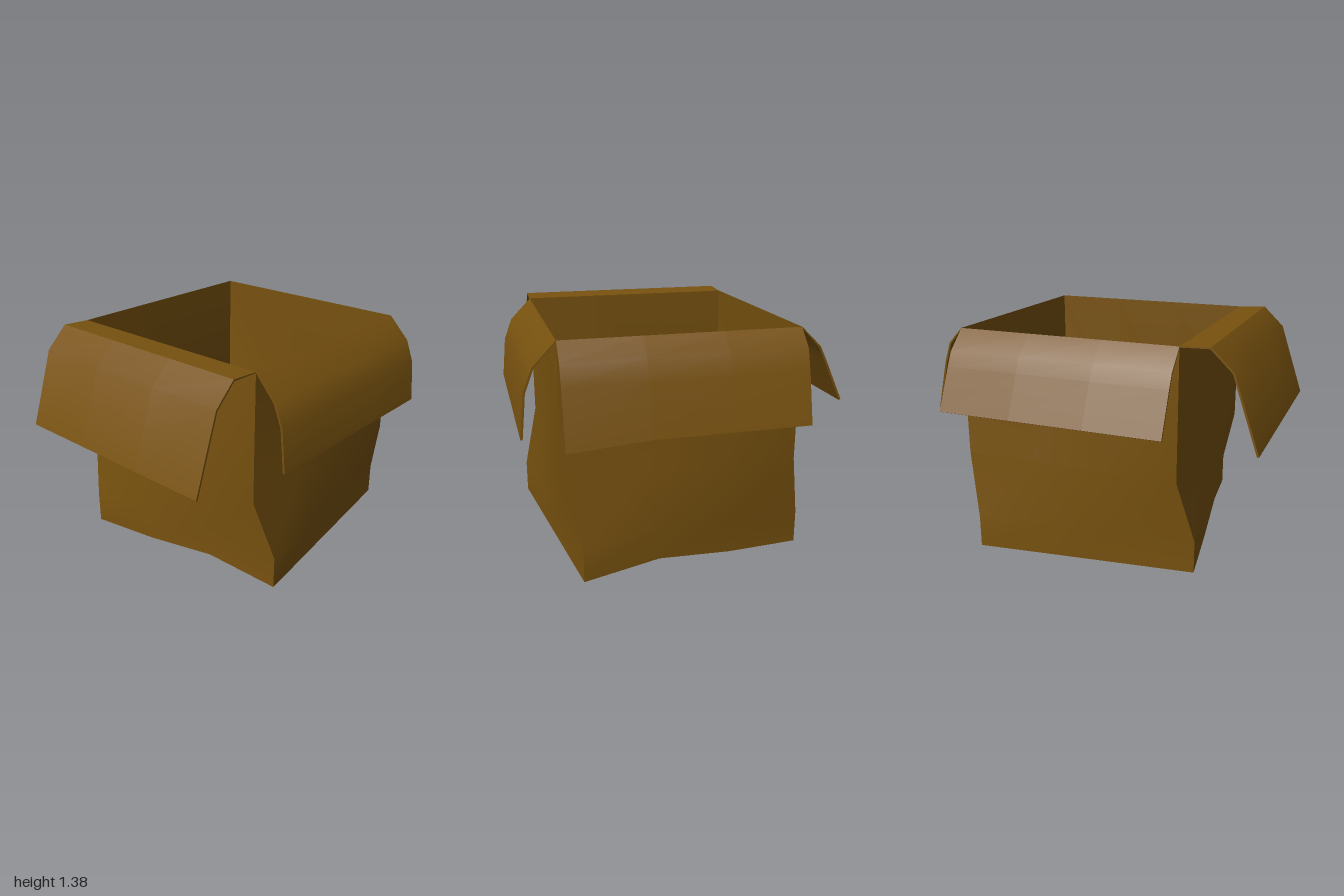
import * as THREE from 'three';
import { toCreasedNormals } from 'three/addons/utils/BufferGeometryUtils.js';

const CREASE = 0.6;
const THIRDS = [0, 1 / 3, 2 / 3, 1];
const RIM = 1.365, FOLD = 0.59, SKIRT = 0.2;

// Corners in order: front left edge, front right edge, back right edge, back left edge (seen from the front)
const rim = [[-0.55, 0.71], [0.79, 0.71], [0.79, -0.64], [-0.55, -0.64]];
const base = [[-0.46, 0.80], [0.88, 0.62], [0.70, -0.72], [-0.64, -0.55]];

// Height of the buckled lower edge, front to back
const buckle = [0.02, 0.07, 0.02, 0];
// Heights of each wall's lower edge, left to right seen from outside
const edgeHeights = [
  [0.02, 0.02, 0.02, 0.02],
  buckle,
  [0, 0, 0, 0],
  [...buckle].reverse(),
];

const mix = (a, b, t) => a.map((v, i) => v + (b[i] - v) * t);

// Surface through rows of points, rows going up and points going right
function sheet(rows) {
  const n = rows[0].length;
  const index = [];
  for (let r = 0; r < rows.length - 1; r++) {
    for (let c = 0; c < n - 1; c++) {
      const a = r * n + c, b = a + 1, d = a + n, e = d + 1;
      index.push(a, b, e, a, e, d);
    }
  }
  const g = new THREE.BufferGeometry();
  g.setAttribute('position', new THREE.Float32BufferAttribute(rows.flat(2), 3));
  g.setIndex(index);
  return toCreasedNormals(g, CREASE);
}

// Straight above the fold, twisted outward below it
function wall(side) {
  const next = (side + 1) % 4;
  const row = (ring, height) => THIRDS.map((t, i) => {
    const [x, z] = mix(ring[side], ring[next], t);
    return [x, height(i), z];
  });
  const low = edgeHeights[side];
  return sheet([
    row(base, i => low[i]),
    row(base, i => low[i] + SKIRT),
    row(rim, () => FOLD),
    row(rim, () => RIM),
  ]);
}

// Bottom panel, facing down
function floor() {
  return sheet(THIRDS.map((t, i) => {
    const [xl, zl] = mix(base[0], base[3], t);
    const [xr, zr] = mix(base[1], base[2], t);
    return [[xr, buckle[i], zr], [xl, buckle[i], zl]];
  }).reverse().map(r => r.reverse()).reverse().map(r => [r[1], r[0]]));
}

// Bent strip of card extruded from a side profile
function flap(path, length) {
  const thick = 0.012;
  const sign = Math.sign(path[path.length - 1][0]);
  const inner = path.map((p, i) => {
    const a = path[Math.max(i - 1, 0)], b = path[Math.min(i + 1, path.length - 1)];
    const dx = b[0] - a[0], dy = b[1] - a[1], l = Math.hypot(dx, dy);
    return [p[0] + sign * dy / l * thick, p[1] - sign * dx / l * thick];
  });
  inner[0] = [path[0][0], path[0][1] - thick / 2];
  const shape = new THREE.Shape([...path, ...inner.reverse()].map(p => new THREE.Vector2(...p)));
  return new THREE.ExtrudeGeometry(shape, { depth: length, steps: 3, bevelEnabled: false });
}

export function createModel() {
  const card = new THREE.MeshStandardMaterial({ color: 0x78520f, side: THREE.DoubleSide });
  card.name = 'brown cardboard';
  const group = new THREE.Group();
  group.name = 'openBox';
  const add = (name, geometry) => {
    const mesh = new THREE.Mesh(geometry, card);
    mesh.name = name;
    group.add(mesh);
  };

  ['frontWall', 'leftWall', 'backWall', 'rightWall'].forEach((name, i) => add(name, wall(i)));
  add('floor', floor());

  // Side flaps run along z
  const left = flap([[0.79, RIM], [0.88, 1.27], [0.92, 1.15], [0.988, 0.86]], 1.35);
  left.translate(0, 0, -0.64);
  // The front lower corner of this flap sags
  const p = left.attributes.position;
  for (let i = 0; i < p.count; i++) {
    if (p.getZ(i) > 0.6 && p.getY(i) < 1) {
      p.setXYZ(i, p.getX(i) + 0.012, p.getY(i) - 0.03, p.getZ(i));
    }
  }
  add('leftFlap', toCreasedNormals(left, CREASE));

  const right = flap([[-0.55, RIM], [-0.72, 1.375], [-0.85, 1.25], [-1, 0.81]], 1.35);
  right.translate(0, 0, -0.64);
  add('rightFlap', toCreasedNormals(right, CREASE));

  // Front and back flaps run along x
  const ends = {
    frontFlap: [[0.71, RIM], [0.84, 1.23], [0.89, 1.10], [0.915, 0.85]],
    backFlap: [[-0.64, RIM], [-0.76, 1.25], [-0.80, 1.17], [-0.91, 0.93]],
  };
  for (const [name, path] of Object.entries(ends)) {
    const g = flap(path, 1.34);
    g.rotateY(-Math.PI / 2).translate(0.79, 0, 0);
    add(name, toCreasedNormals(g, CREASE));
  }
  return group;
}
